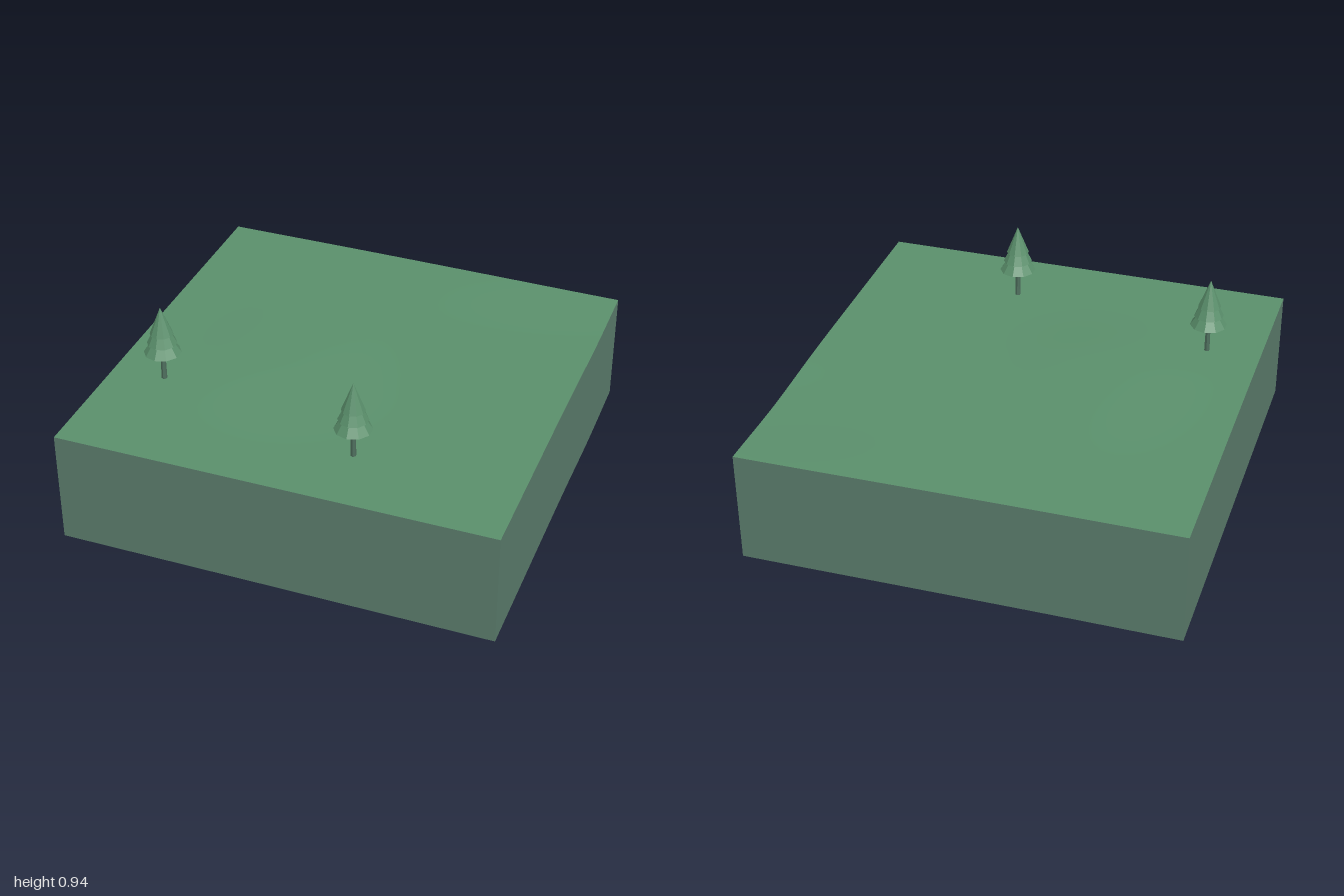
import * as THREE from 'three';

const SKIRT = 0.535; // depth of the side walls below the surface

// Gently rolling ground: sloped plane, a low mound and a dip on the left edge
function height(x, z) {
  const u = (x + 1) / 2, v = (z + 1) / 2;
  const base = 0.567 - u * (0.019 * (1 - v) + 0.009 * v);
  const reach = z > 0.15 ? 0.4 : 0.7;
  const mound = 0.02 * Math.exp(-(((x + 0.35) / 0.45) ** 2) - (((z - 0.15) / reach) ** 2));
  const dip = 0.015 * Math.exp(-(((x - 1) / 0.6) ** 2) - (((z + 0.58) / 0.36) ** 2));
  return base + mound - dip;
}

function createGround(material) {
  const geo = new THREE.PlaneGeometry(2, 2, 32, 32).rotateX(-Math.PI / 2);
  const p = geo.attributes.position;
  for (let i = 0; i < p.count; i++) p.setY(i, height(p.getX(i), p.getZ(i)));
  geo.computeVertexNormals();
  const mesh = new THREE.Mesh(geo, material);
  mesh.name = 'ground';
  return mesh;
}

// One wall hanging from a ground edge, turned by quarter turns about y
function createWall(name, turn, material) {
  const geo = new THREE.PlaneGeometry(2, SKIRT, 32, 1);
  geo.translate(0, -SKIRT / 2, 1).rotateY(turn * Math.PI / 2);
  const p = geo.attributes.position;
  for (let i = 0; i < p.count; i++) {
    p.setY(i, p.getY(i) + height(p.getX(i), p.getZ(i)));
  }
  const mesh = new THREE.Mesh(geo, material);
  mesh.name = name;
  return mesh;
}

function createTree(name, x, z, barkMaterial, leafMaterial) {
  const tree = new THREE.Group();
  tree.name = name;
  tree.position.set(x, height(x, z), z);

  const trunk = new THREE.Mesh(new THREE.CylinderGeometry(0.011, 0.013, 0.17, 6), barkMaterial);
  trunk.name = 'trunk';
  trunk.position.y = 0.075;
  tree.add(trunk);

  // Foliage tiers: base height, radius, cone height
  [[0.139, 0.085, 0.13], [0.187, 0.068, 0.14], [0.234, 0.053, 0.134]].forEach(([y, r, h], i) => {
    const tier = new THREE.Mesh(new THREE.ConeGeometry(r, h, 10), leafMaterial);
    tier.name = 'foliageTier' + (i + 1);
    tier.position.y = y + h / 2;
    tree.add(tier);
  });
  return tree;
}

export function createModel() {
  const grass = new THREE.MeshStandardMaterial({ color: 0x5a8f6b, side: THREE.DoubleSide });
  grass.name = 'grass';
  const earth = new THREE.MeshStandardMaterial({ color: 0x5a7b6b, side: THREE.DoubleSide });
  earth.name = 'earth';
  const bark = new THREE.MeshStandardMaterial({ color: 0x4f6f5e, flatShading: true });
  bark.name = 'bark';
  const leaf = new THREE.MeshStandardMaterial({ color: 0x5a8f6b, flatShading: true });
  leaf.name = 'leaf';

  const model = new THREE.Group();
  model.name = 'terrainTile';
  model.add(createGround(grass));
  ['frontWall', 'leftWall', 'backWall', 'rightWall'].forEach((name, i) => {
    model.add(createWall(name, i, earth));
  });
  model.add(createTree('rightTree', -0.75, 0.417, bark, leaf));
  model.add(createTree('leftTree', 0.25, 0.667, bark, leaf));
  return model;
}
